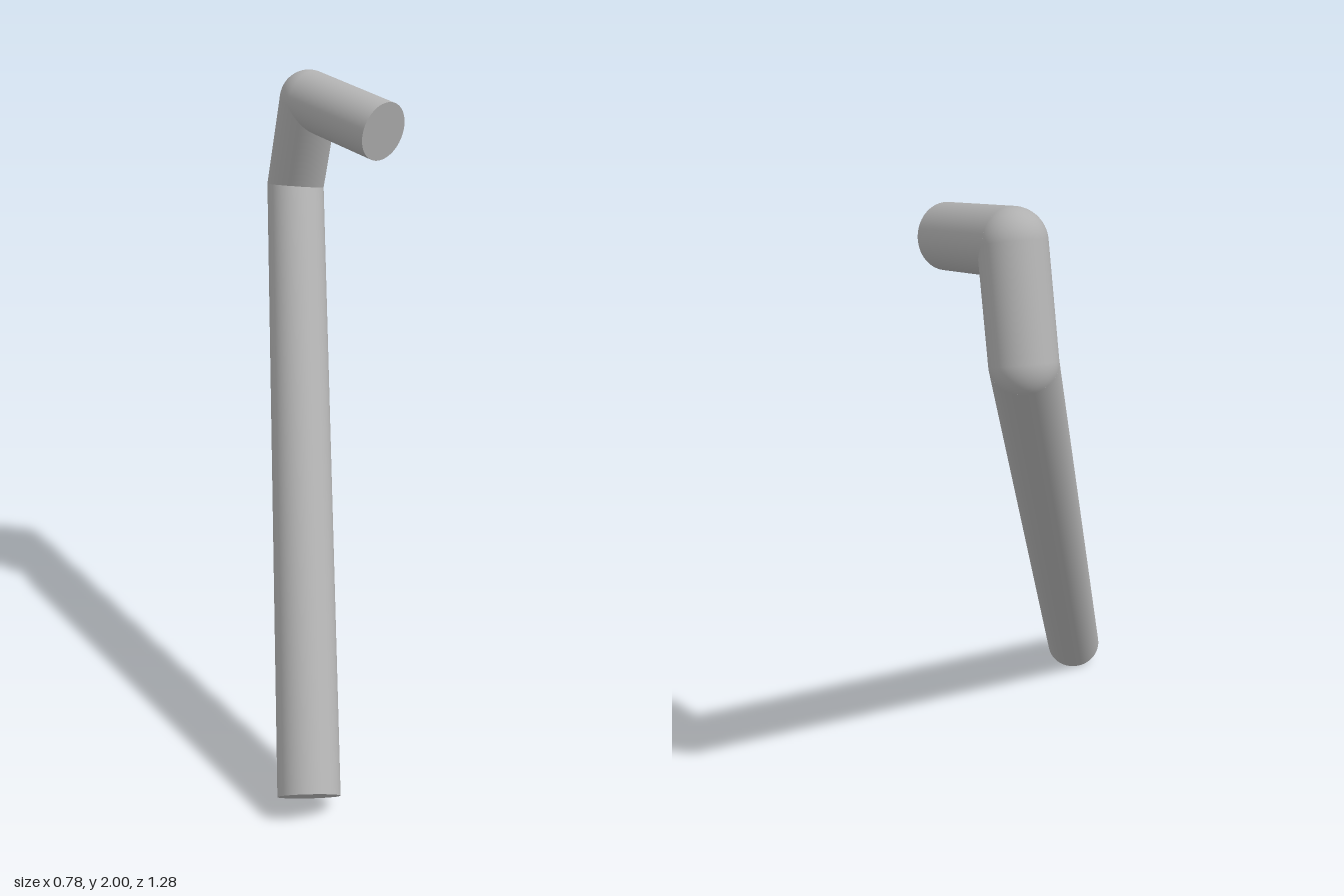
import * as THREE from 'three';

const RADIUS = 0.093;
const SIDES = 64;

export function createModel() {
  const group = new THREE.Group();
  group.name = 'bentRod';
  const grey = new THREE.MeshStandardMaterial({ color: 0xb0b0b0 });
  grey.name = 'grey';

  // Centre line: foot, lower bend, upper bend, tip
  const foot = new THREE.Vector3(-0.3, 0.058, 0.563);
  const lowerBend = new THREE.Vector3(0.2, 1.609, -0.547);
  const upperBend = new THREE.Vector3(0.2, 1.907, -0.446);
  const tip = new THREE.Vector3(0.301, 1.847, -0.134);
  const up = new THREE.Vector3(0, 1, 0);

  // Straight round bar between two points
  function addBar(name, from, to) {
    const dir = to.clone().sub(from);
    const bar = new THREE.Mesh(
      new THREE.CylinderGeometry(RADIUS, RADIUS, dir.length(), SIDES), grey);
    bar.position.copy(from).add(to).multiplyScalar(0.5);
    bar.quaternion.setFromUnitVectors(up, dir.normalize());
    bar.name = name;
    group.add(bar);
    return bar;
  }

  // Ball that rounds off a bend, turned to line up with a bar
  function addBend(name, centre, bar) {
    const ball = new THREE.Mesh(new THREE.SphereGeometry(RADIUS, SIDES, 32), grey);
    ball.position.copy(centre);
    ball.quaternion.copy(bar.quaternion);
    ball.name = name;
    group.add(ball);
  }

  addBar('longShaft', foot, lowerBend);
  const neck = addBar('neck', lowerBend, upperBend);
  addBar('endArm', upperBend, tip);
  addBend('lowerBend', lowerBend, neck);
  addBend('upperBend', upperBend, neck);

  return group;
}
